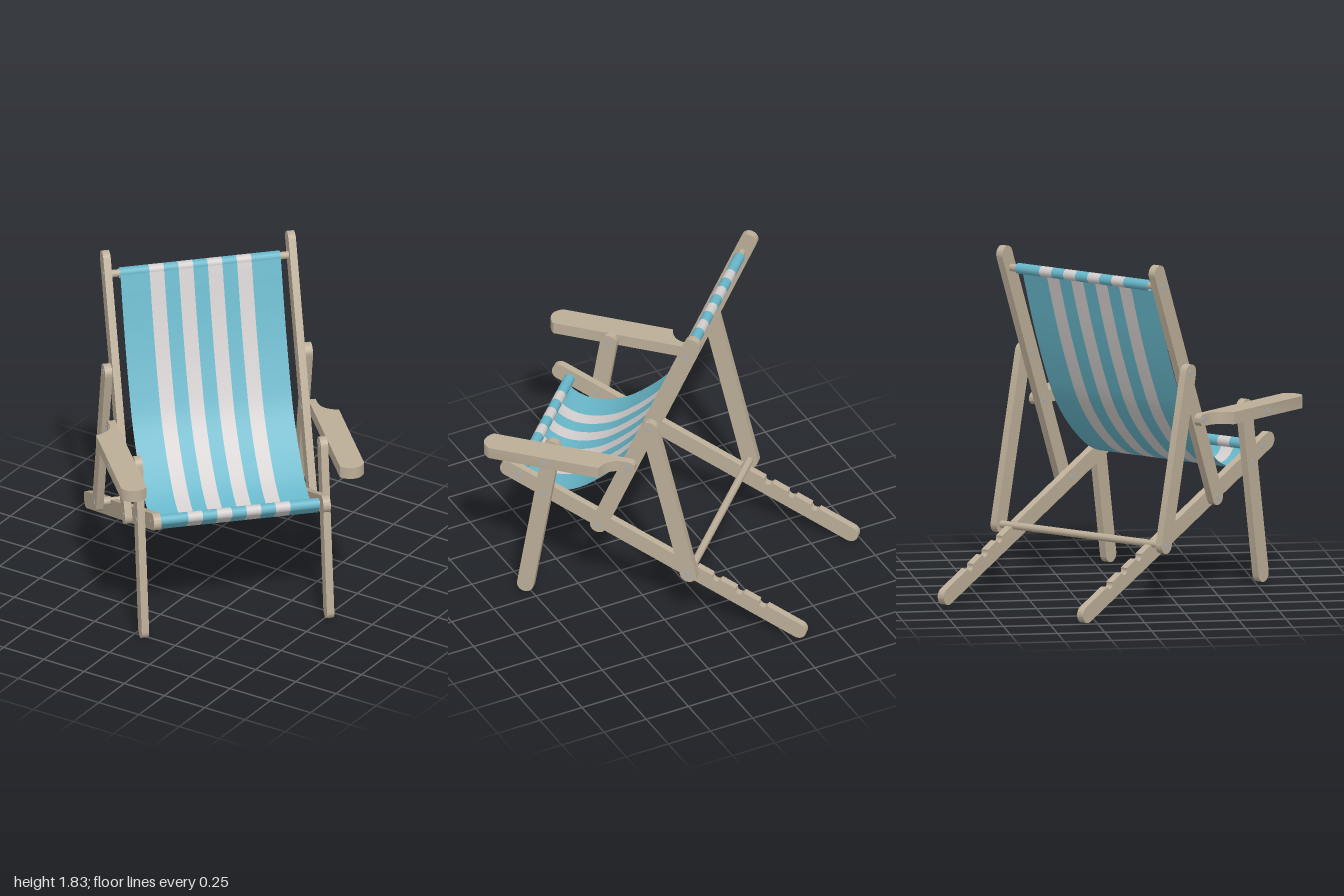
import * as THREE from 'three';
import { mergeGeometries, toCreasedNormals } from 'three/addons/utils/BufferGeometryUtils.js';

const wood = new THREE.MeshStandardMaterial({ color: 0xbcae98 });
const steel = new THREE.MeshStandardMaterial({ color: 0xabb0b3 });
const blue = new THREE.MeshStandardMaterial({ color: 0x67b5c8, side: THREE.DoubleSide });
const white = new THREE.MeshStandardMaterial({ color: 0xd2cdcd, side: THREE.DoubleSide });

// Working frame: x = chair forward, y = up, z = chair's right.
export function createModel() {
  const model = new THREE.Group();
  const chair = new THREE.Group();
  chair.name = 'deckChair';
  chair.rotation.y = -Math.PI / 4;
  model.add(chair);

  const add = (name, geometry, material = wood) => {
    const mesh = new THREE.Mesh(geometry, material);
    mesh.name = name;
    chair.add(mesh);
    return mesh;
  };

  // Round-ended plank from a to b, with optional notches in its upper edge
  const plank = (name, a, b, z, r = 0.045, notches = []) => {
    const dx = b[0] - a[0], dy = b[1] - a[1], len = Math.hypot(dx, dy), n = 0.024, t = 0.04;
    const s = new THREE.Shape();
    s.moveTo(0, -r);
    s.lineTo(len, -r);
    s.absarc(len, 0, r, -Math.PI / 2, Math.PI / 2, false);
    for (const d of notches) {
      s.lineTo(d + n, r);
      s.absarc(d, r, n, 0, Math.PI, true);
    }
    s.lineTo(0, r);
    s.absarc(0, 0, r, Math.PI / 2, Math.PI * 1.5, false);
    const g = new THREE.ExtrudeGeometry(s, { depth: t, bevelEnabled: false, curveSegments: 12 });
    g.translate(0, 0, -t / 2);
    const mesh = add(name, toCreasedNormals(g, 0.6));
    mesh.position.set(a[0], a[1], z);
    mesh.rotation.z = Math.atan2(dy, dx);
  };

  // Round bar along z
  const bar = (name, x, y, z0, z1, r, material = wood, sides = 16) => {
    const g = new THREE.CylinderGeometry(r, r, Math.abs(z1 - z0), sides);
    g.rotateX(Math.PI / 2);
    add(name, g, material).position.set(x, y, (z0 + z1) / 2);
  };

  const topRod = [-0.287, 1.71], frontRod = [0.648, 0.724], propRod = [-0.315, 0.34];

  for (const side of [-1, 1]) {
    const p = side > 0 ? 'right' : 'left';
    plank(p + 'SeatRail', [-0.893, 0.045], [0.702, 0.748], side * 0.456, 0.045, [0.648, 0.508, 0.368, 0.228]);
    plank(p + 'BackUpright', [0.193, 0.524], [-0.32, 1.785], side * 0.4985);
    plank(p + 'Prop', propRod, [-0.1, 1.23], side * 0.54);
    plank(p + 'FrontLeg', [0.595, 0.056], [0.45, 0.9625], side * 0.4985);

    // Armrest: narrow pivot tongue and a wide board with a hollowed corner
    plank(p + 'ArmrestTongue', [0.012, 0.9625], [0.1, 0.9625], side * 0.54, 0.0325);
    const s = new THREE.Shape();
    s.moveTo(0.04, side * 0.52);
    s.lineTo(0.765, side * 0.52);
    s.bezierCurveTo(0.8, side * 0.55, 0.82, side * 0.62, 0.75, side * 0.654);
    s.lineTo(0.148, side * 0.654);
    s.quadraticCurveTo(0.125, side * 0.56, 0.04, side * 0.56);
    const g = new THREE.ExtrudeGeometry(s, { depth: 0.065, bevelEnabled: false, curveSegments: 12 });
    g.rotateX(Math.PI / 2);
    g.translate(0, 0.995, 0);
    add(p + 'Armrest', toCreasedNormals(g, 0.6));

    // Pivot bolts: x, y, inner z, outer z
    const bolts = [
      [0.193, 0.524, 0.434, 0.5205],
      [-0.1, 1.23, 0.4765, 0.562],
      [0.497, 0.662, 0.434, 0.5205],
      [0.453, 0.9625, 0.4765, 0.656],
      [0.012, 0.9625, 0.4765, 0.562],
      [...topRod, 0.49, 0.5205],
      [...frontRod, 0.45, 0.478],
      [...propRod, 0.53, 0.562],
    ];
    for (const [x, y, z0, z1] of bolts) bar(p + 'Bolt', x, y, side * z0, side * z1, 0.017, steel, 8);
  }

  // Cross rods
  bar('topRod', ...topRod, -0.49, 0.49, 0.02);
  bar('frontRod', ...frontRod, -0.45, 0.45, 0.02);
  bar('propRod', ...propRod, -0.53, 0.53, 0.02);

  // Striped sling: cloth leaving the front of each rod, plus sleeves around both rods
  const drape = new THREE.CatmullRomCurve3([
    [-0.258, 1.71], [-0.155, 1.4], [-0.06, 1.16], [0.035, 0.968], [0.13, 0.845],
    [0.224, 0.755], [0.33, 0.677], [0.44, 0.634], [0.54, 0.627], [0.62, 0.655], [0.676, 0.72],
  ].map(([x, y]) => new THREE.Vector3(x, y, 0)));
  const rows = 40, points = drape.getSpacedPoints(rows);
  const halfWidth = 0.432, unit = (halfWidth * 2) / 11;
  let z = -halfWidth;
  [2, 1, 1, 1, 1, 1, 1, 1, 2].forEach((units, i) => {
    const w = units * unit;
    const cloth = new THREE.PlaneGeometry(w, 1, 1, rows);
    const pos = cloth.attributes.position;
    for (let k = 0; k < pos.count; k++) {
      const q = points[Math.floor(k / 2)];
      pos.setXYZ(k, q.x, q.y, z + w / 2 - pos.getX(k));
    }
    cloth.computeVertexNormals();
    const sleeves = [topRod, frontRod].map(([x, y]) => {
      const g = new THREE.CylinderGeometry(0.029, 0.029, w, 16, 1, true);
      g.rotateX(Math.PI / 2);
      return g.translate(x, y, z + w / 2);
    });
    add(i % 2 ? 'whiteStripe' : 'blueStripe', mergeGeometries([cloth, ...sleeves]), i % 2 ? white : blue);
    z += w;
  });

  return model;
}
